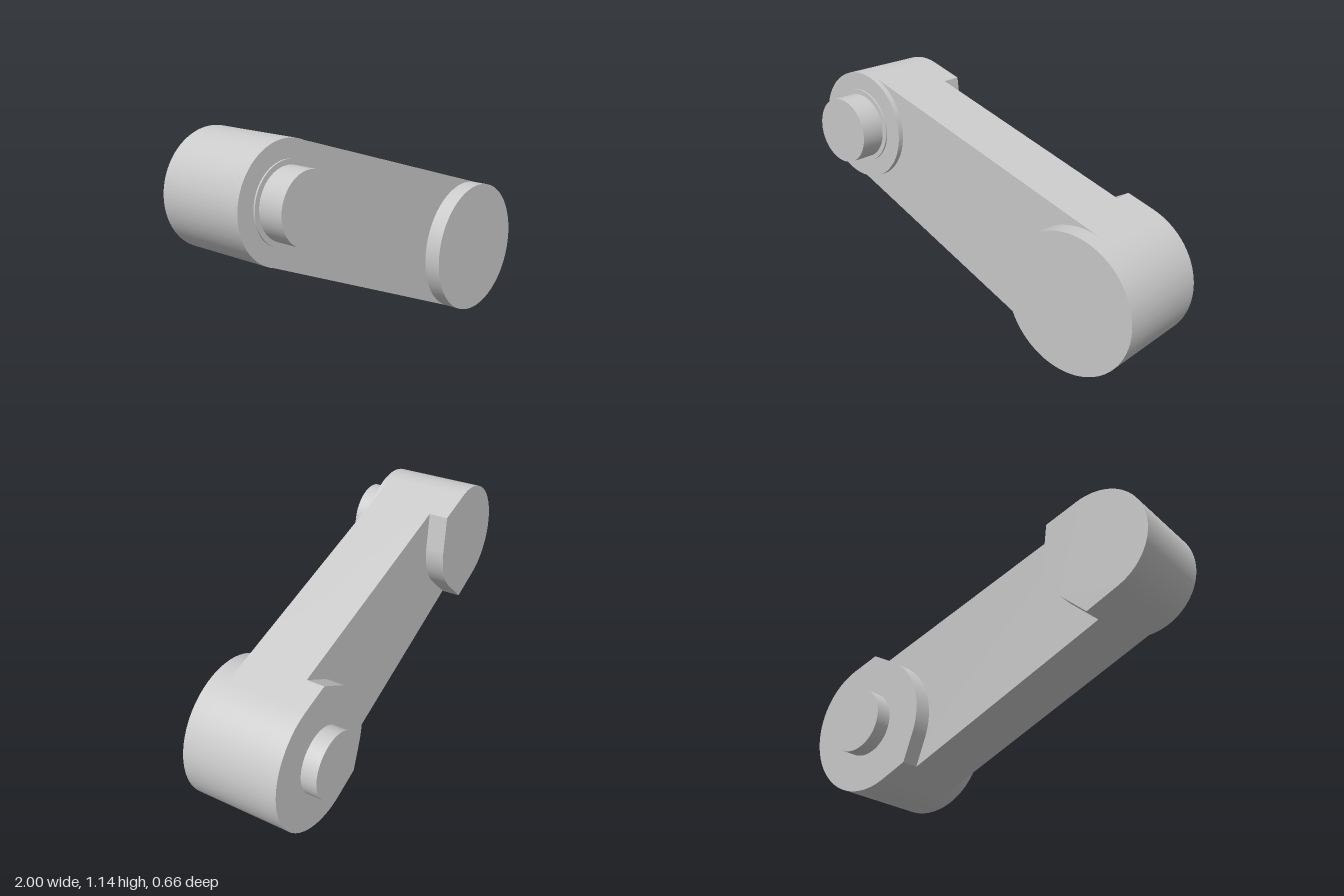
import * as THREE from 'three';
import { toCreasedNormals } from 'three/addons/utils/BufferGeometryUtils.js';

const material = new THREE.MeshStandardMaterial({ color: 0xcccccc });

// The two round ends of the arm
const upper = { x: -0.727, y: 0.868, r: 0.273 };
const lower = { x: 0.656, y: 0.345, r: 0.343 };
const dx = lower.x - upper.x, dy = lower.y - upper.y;
const axis = Math.atan2(dy, dx);
// Angle between the axis and the points where the straight edges touch the ends
const touch = Math.acos((upper.r - lower.r) / Math.hypot(dx, dy));

function slab(name, shape, z0, z1) {
  const geo = new THREE.ExtrudeGeometry(shape, { depth: z1 - z0, bevelEnabled: false, curveSegments: 64 });
  geo.translate(0, 0, z0);
  const mesh = new THREE.Mesh(toCreasedNormals(geo, 0.4), material);
  mesh.name = name;
  return mesh;
}

function disc(name, end, r, z0, z1) {
  const geo = new THREE.CylinderGeometry(r, r, z1 - z0, 96);
  geo.rotateX(Math.PI / 2);
  const mesh = new THREE.Mesh(geo, material);
  mesh.position.set(end.x, end.y, (z0 + z1) / 2);
  mesh.name = name;
  return mesh;
}

// Outline wrapped tightly round both ends
function armShape() {
  const s = new THREE.Shape();
  s.absarc(upper.x, upper.y, upper.r, axis + touch, axis - touch + 2 * Math.PI, false);
  s.absarc(lower.x, lower.y, lower.r, axis - touch, axis + touch, false);
  s.closePath();
  return s;
}

// Round pad whose two inner corners reach out to the straight arm edges;
// dir points along the arm, hull is the touch angle, corner the corner angle
function padShape(end, dir, hull, corner) {
  const s = new THREE.Shape();
  const inner = 2 * corner - hull;
  const reach = end.r / Math.cos(hull - corner);
  const cornerAt = (a) => s.lineTo(end.x + reach * Math.cos(a), end.y + reach * Math.sin(a));
  s.absarc(end.x, end.y, end.r, dir - inner, dir + inner, false);
  cornerAt(dir + corner);
  s.absarc(end.x, end.y, end.r, dir + hull, dir - hull + 2 * Math.PI, false);
  cornerAt(dir - corner);
  s.closePath();
  return s;
}

export function createModel() {
  const group = new THREE.Group();
  group.name = 'crankArm';
  const deg = Math.PI / 180;
  const zBack = -0.157, zFront = 0.168;

  group.add(slab('arm', armShape(), zBack, zFront));

  // Raised pads on the back
  group.add(slab('upperBackPad', padShape(upper, axis, touch, 60 * deg), -0.253, zBack));
  group.add(slab('lowerBackPad', padShape(lower, axis + Math.PI, Math.PI - touch, 64 * deg), -0.247, zBack));

  // Round pads on the front
  group.add(disc('upperFrontPad', upper, upper.r, zFront, 0.196));
  group.add(disc('lowerFrontPad', lower, lower.r, zFront, 0.252));

  // Pins
  group.add(disc('upperCollar', upper, 0.187, 0.196, 0.204));
  group.add(disc('upperPin', upper, 0.163, 0.204, 0.328));
  group.add(disc('lowerPin', lower, 0.162, -0.328, -0.247));
  return group;
}
